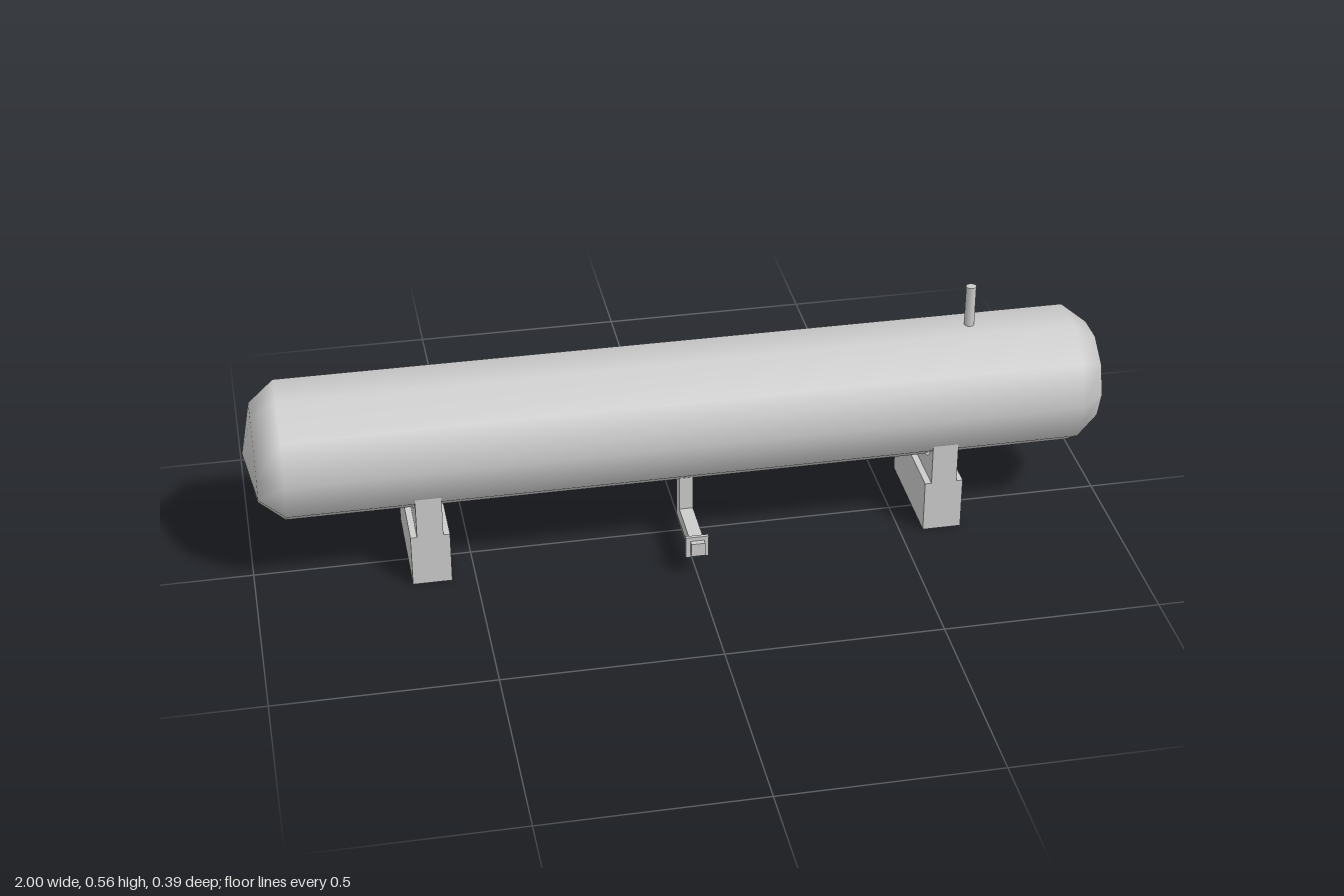
import * as THREE from 'three';

const R = 0.1635, AXIS_Y = 0.31, AXIS_Z = -0.0315;

export function createModel() {
  const model = new THREE.Group();
  const grey = new THREE.MeshStandardMaterial({ color: 0xcccccc });

  const add = (parent, name, geometry, x, y, z) => {
    const mesh = new THREE.Mesh(geometry, grey);
    mesh.name = name;
    mesh.position.set(x, y, z);
    parent.add(mesh);
    return mesh;
  };

  // Ten-sided horizontal tank with shallow domed ends
  const half = 0.917, dome = 0.083;
  const profile = [];
  for (const end of [-1, 1]) {
    for (let i = 0; i < 3; i++) {
      const a = (end < 0 ? i : 2 - i) * Math.PI / 4;
      profile.push(new THREE.Vector2(R * Math.sin(a), end * (half + dome * Math.cos(a))));
    }
  }
  const tank = new THREE.LatheGeometry(profile, 10).rotateZ(-Math.PI / 2);
  add(model, 'tank', tank, 0, AXIS_Y, AXIS_Z);

  // Saddle web outline: flat bottom, faceted cradle on top
  const w = 0.1365, baseH = 0.127, horn = 0.23;
  const web = new THREE.Shape();
  web.moveTo(-w, baseH);
  web.lineTo(w, baseH);
  web.lineTo(w, horn);
  for (const k of [1, 0, -1]) {
    const a = k * Math.PI / 5;
    web.lineTo(R * Math.sin(a), AXIS_Y - R * Math.cos(a));
  }
  web.lineTo(-w, horn);
  web.closePath();
  const webGeometry = new THREE.ExtrudeGeometry(web, { depth: 0.06, bevelEnabled: false })
    .translate(0, 0, -0.03).rotateY(-Math.PI / 2);

  // Two support saddles
  for (const side of [-1, 1]) {
    const saddle = new THREE.Group();
    saddle.name = side > 0 ? 'leftSaddle' : 'rightSaddle';
    saddle.position.set(side * 0.6, 0, AXIS_Z);
    add(saddle, 'saddleBase', new THREE.BoxGeometry(0.09, baseH, 2 * w), 0, baseH / 2, 0);
    add(saddle, 'saddleWeb', webGeometry, 0, 0, 0);
    model.add(saddle);
  }

  // Vent pipe on top
  add(model, 'ventPipe', new THREE.CylinderGeometry(0.012, 0.012, 0.12, 12), 0.68, 0.505, AXIS_Z);

  // Square drain pipe: drops from the tank, turns forward, carries a flange
  const outline = new THREE.Shape();
  [[0.015, 0.19], [0.015, 0.057], [0.196, 0.057], [0.196, 0.09], [0.047, 0.09], [0.047, 0.19]]
    .forEach(([z, y], i) => (i ? outline.lineTo(z, y) : outline.moveTo(z, y)));
  const drain = new THREE.ExtrudeGeometry(outline, { depth: 0.032, bevelEnabled: false })
    .translate(0, 0, -0.016).rotateY(-Math.PI / 2);
  add(model, 'drainPipe', drain, 0, 0, 0);
  add(model, 'drainFlange', new THREE.BoxGeometry(0.053, 0.053, 0.008), 0, 0.0735, 0.179);

  return model;
}
